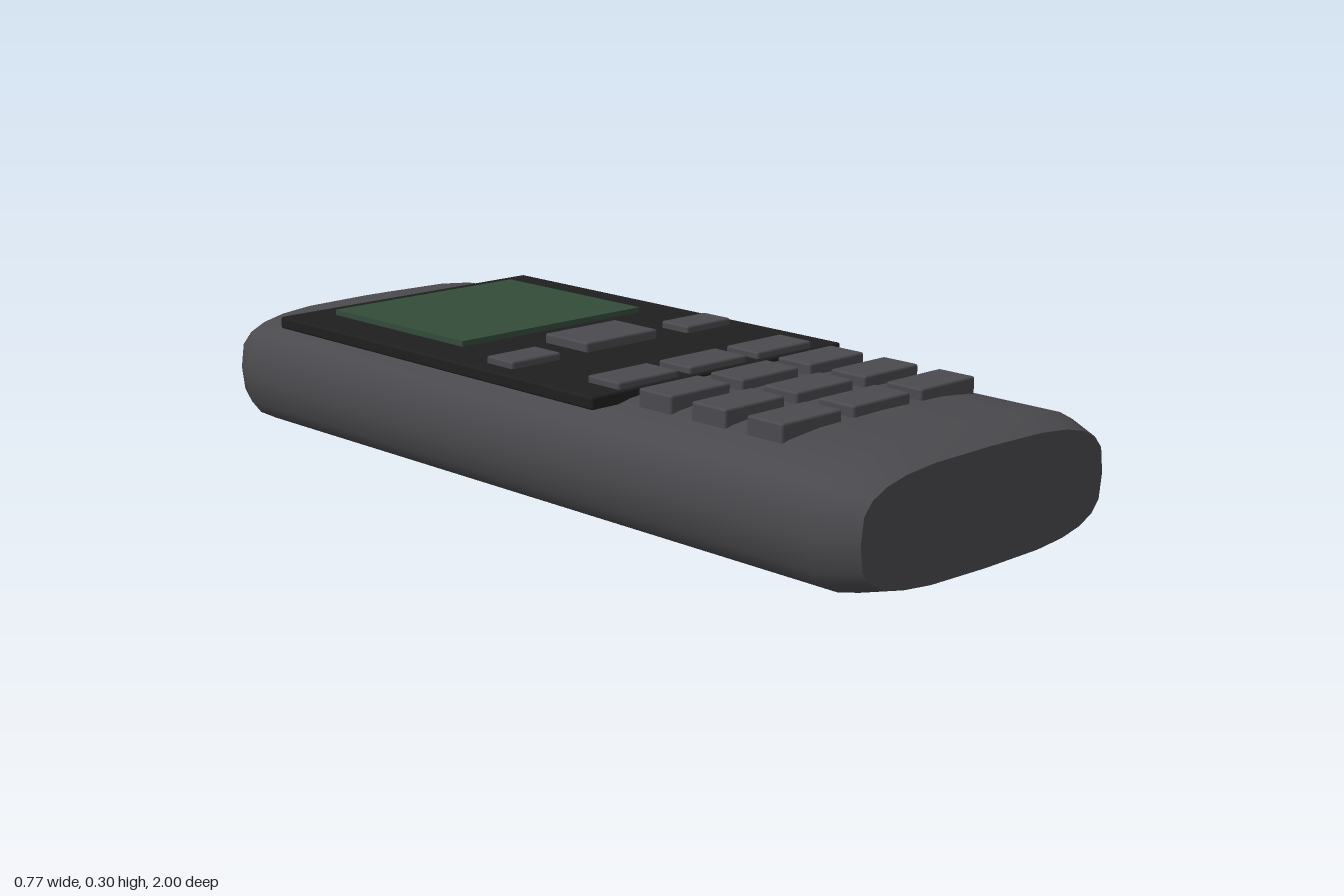
import * as THREE from 'three';
import { toCreasedNormals } from 'three/addons/utils/BufferGeometryUtils.js';
import { RoundedBoxGeometry } from 'three/addons/geometries/RoundedBoxGeometry.js';

const material = (name, color) => {
  const m = new THREE.MeshStandardMaterial({ color });
  m.name = name;
  return m;
};

// Superellipse tube along z, tapering at both ends.
function bodyGeometry() {
  const geo = new THREE.CylinderGeometry(1, 1, 1, 24, 3).rotateX(Math.PI / 2);
  const pos = geo.attributes.position;
  const soften = (v) => Math.sign(v) * Math.pow(Math.abs(v), 0.6);
  const rings = [-0.85, -0.77, 0.92, 1];
  for (let i = 0; i < pos.count; i++) {
    const ring = Math.round((pos.getZ(i) + 0.5) * 3);
    const end = ring === 0 || ring === 3;
    pos.setXYZ(
      i,
      soften(pos.getX(i)) * (end ? 0.346 : 0.385),
      0.135 + soften(pos.getY(i)) * (end ? 0.115 : 0.135),
      rings[ring]
    );
  }
  return toCreasedNormals(geo, 0.9);
}

export function createModel() {
  const phone = new THREE.Group();
  phone.name = 'handset';
  const casing = material('casing grey', 0x4a4a4e);
  const keyGrey = material('key grey', 0x4a4a4f);
  const panel = material('panel black', 0x1f1f1f);
  const rubber = material('antenna black', 0x1b1b1c);
  const glass = material('screen green', 0x344c3a);

  const add = (name, geo, mat, x = 0, y = 0, z = 0) => {
    const mesh = new THREE.Mesh(geo, mat);
    mesh.name = name;
    mesh.position.set(x, y, z);
    phone.add(mesh);
    return mesh;
  };
  // Soft-edged slab given by its centre, plan size and bottom/top heights.
  const slab = (name, mat, x, z, w, d, bottom, top) =>
    add(name, new RoundedBoxGeometry(w, top - bottom, d, 2, 0.005), mat, x, (bottom + top) / 2, z);

  add('body', bodyGeometry(), casing);

  // Face panel and display
  slab('facePanel', panel, 0, -0.18, 0.704, 1.01, 0.251, 0.277);
  add('screen', new THREE.BoxGeometry(0.505, 0.018, 0.435), glass, 0, 0.28, -0.398);

  // Navigation and side buttons
  slab('navigationButton', keyGrey, 0, -0.03, 0.2, 0.13, 0.266, 0.297);
  for (const side of [-1, 1]) {
    slab(side > 0 ? 'leftButton' : 'rightButton', keyGrey, side * 0.245, 0.005, 0.13, 0.08, 0.266, 0.292);
  }

  // Number keys, four rows of three
  [0.27, 0.414, 0.557, 0.7].forEach((z, row) => {
    for (let col = -1; col <= 1; col++) {
      slab(`key${row * 3 + col + 2}`, keyGrey, col * 0.193, z, 0.16, 0.09, 0.25, 0.291);
    }
  });

  // Stub antenna on the back end
  add('antenna', new THREE.CylinderGeometry(0.048, 0.048, 0.25, 16).rotateX(Math.PI / 2), rubber, 0.267, 0.138, -0.875);

  return phone;
}
